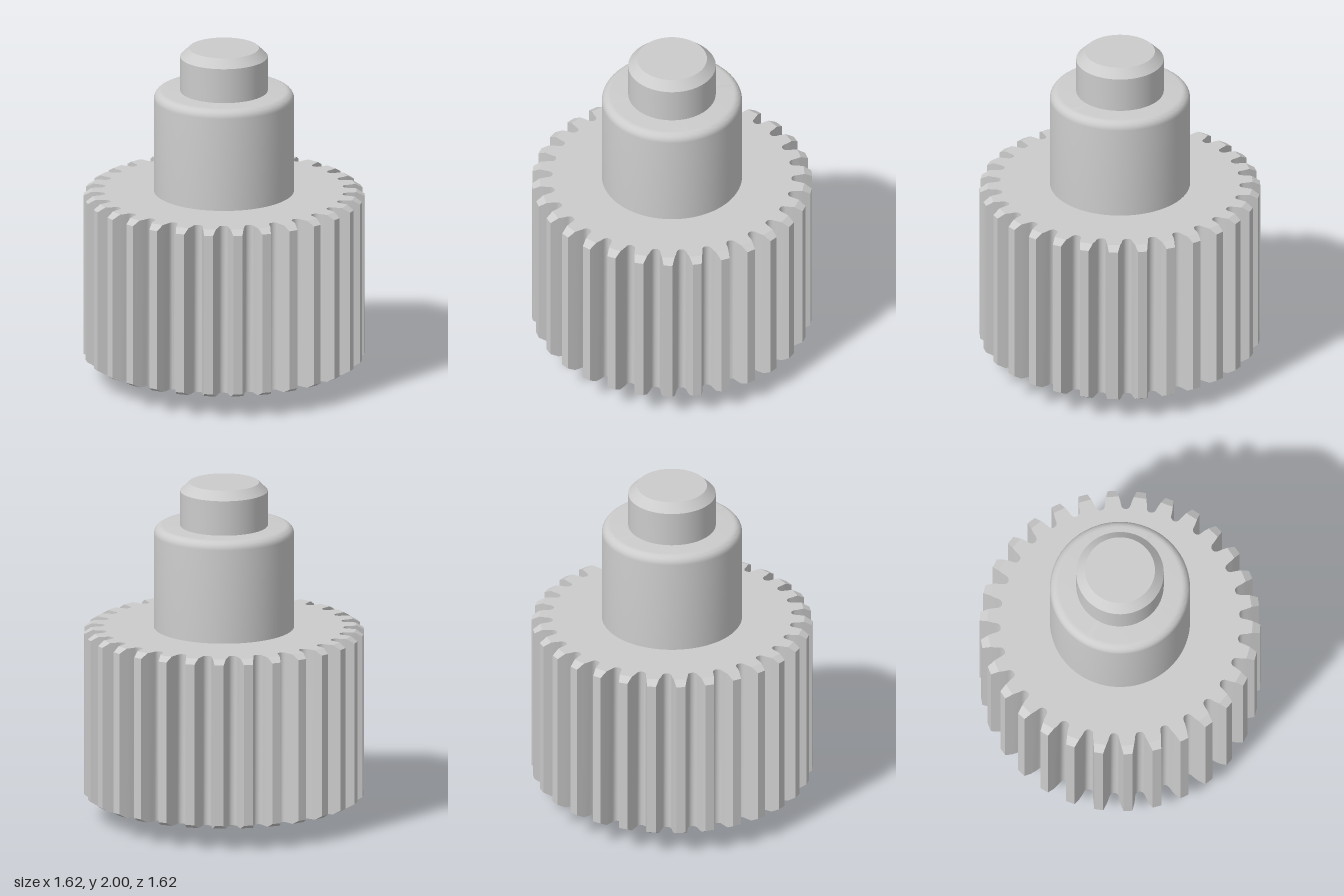
import * as THREE from 'three';
import { mergeGeometries, toCreasedNormals } from 'three/addons/utils/BufferGeometryUtils.js';

const TEETH = 30, GEAR_LOW = 0.13, GEAR_HIGH = 1.14, BEVEL = 0.026;

// Half of one tooth from tip to root: [half width, distance from axis].
const HALF_TOOTH = [
  [0.026, 0.81], [0.037, 0.765], [0.044, 0.735], [0.047, 0.713],
  [0.05, 0.701], [0.057, 0.692], [0.066, 0.687],
];

// Points of tooth k in order around the axis; tips drop by the bevel.
function toothPoints(k) {
  const a = (k / TEETH) * Math.PI * 2;
  const place = (side) => ([w, r], i) => ({
    x: r * Math.sin(a) + side * w * Math.cos(a),
    z: -r * Math.cos(a) + side * w * Math.sin(a),
    drop: i === 0 ? BEVEL : 0,
  });
  return [...HALF_TOOTH.map(place(-1)).reverse(), ...HALF_TOOTH.map(place(1))];
}

function gearGeometry() {
  const teeth = Array.from({ length: TEETH }, (_, k) => toothPoints(k));
  const outline = teeth.flat();
  const positions = [];
  const quad = (a, b, c, d) => positions.push(...a, ...b, ...c, ...a, ...c, ...d);
  const low = (p) => [p.x, GEAR_LOW + p.drop, p.z];
  const high = (p) => [p.x, GEAR_HIGH - p.drop, p.z];

  // Tooth walls
  outline.forEach((p, i) => {
    const q = outline[(i + 1) % outline.length];
    quad(low(q), low(p), high(p), high(q));
  });

  // Bevelled tooth ends, top and bottom
  const n = HALF_TOOTH.length;
  for (const t of teeth) {
    const [a, l, r, b] = t.slice(n - 2, n + 2);
    quad(high(a), high(b), high(r), high(l));
    quad(low(a), low(l), low(r), low(b));
  }
  const walls = new THREE.BufferGeometry();
  walls.setAttribute('position', new THREE.Float32BufferAttribute(positions, 3));

  // Flat end faces, stopping where the bevel starts
  const flat = outline.filter((p) => p.drop === 0);
  const shape = new THREE.Shape(flat.map((p) => new THREE.Vector2(p.x, -p.z)));
  const cap = (turn, y) => {
    const g = new THREE.ShapeGeometry(shape).toNonIndexed();
    g.deleteAttribute('uv');
    g.deleteAttribute('normal');
    return g.rotateX(turn).translate(0, y, 0);
  };
  const merged = mergeGeometries([
    walls, cap(-Math.PI / 2, GEAR_HIGH), cap(Math.PI / 2, GEAR_LOW),
  ]);
  return toCreasedNormals(merged, 0.5);
}

// Solid of revolution from [radius, y] points, bottom to top.
function turned(profile) {
  const points = profile.map(([r, y]) => new THREE.Vector2(r, y));
  return toCreasedNormals(new THREE.LatheGeometry(points, 96), 0.5);
}

// Hub profile with rounded rims at both ends
function hubProfile(radius, low, high, round) {
  const points = [[0, low]];
  const steps = 8;
  for (const [y, start] of [[low + round, -Math.PI / 2], [high - round, 0]]) {
    for (let i = 0; i <= steps; i++) {
      const a = start + (i / steps) * (Math.PI / 2);
      points.push([radius - round + round * Math.cos(a), y + round * Math.sin(a)]);
    }
  }
  points.push([0, high]);
  return points;
}

export function createModel() {
  const group = new THREE.Group();
  group.name = 'pinionShaft';
  const material = new THREE.MeshStandardMaterial({ color: 0xcccccc });
  const add = (name, geometry) => {
    const mesh = new THREE.Mesh(geometry, material);
    mesh.name = name;
    group.add(mesh);
  };

  add('gear', gearGeometry());
  add('hub', turned(hubProfile(0.405, 0.105, 1.745, 0.05)));
  add('shaft', turned([[0, 0], [0.202, 0], [0.253, 0.05], [0.253, 1.95], [0.202, 2], [0, 2]]));
  return group;
}
